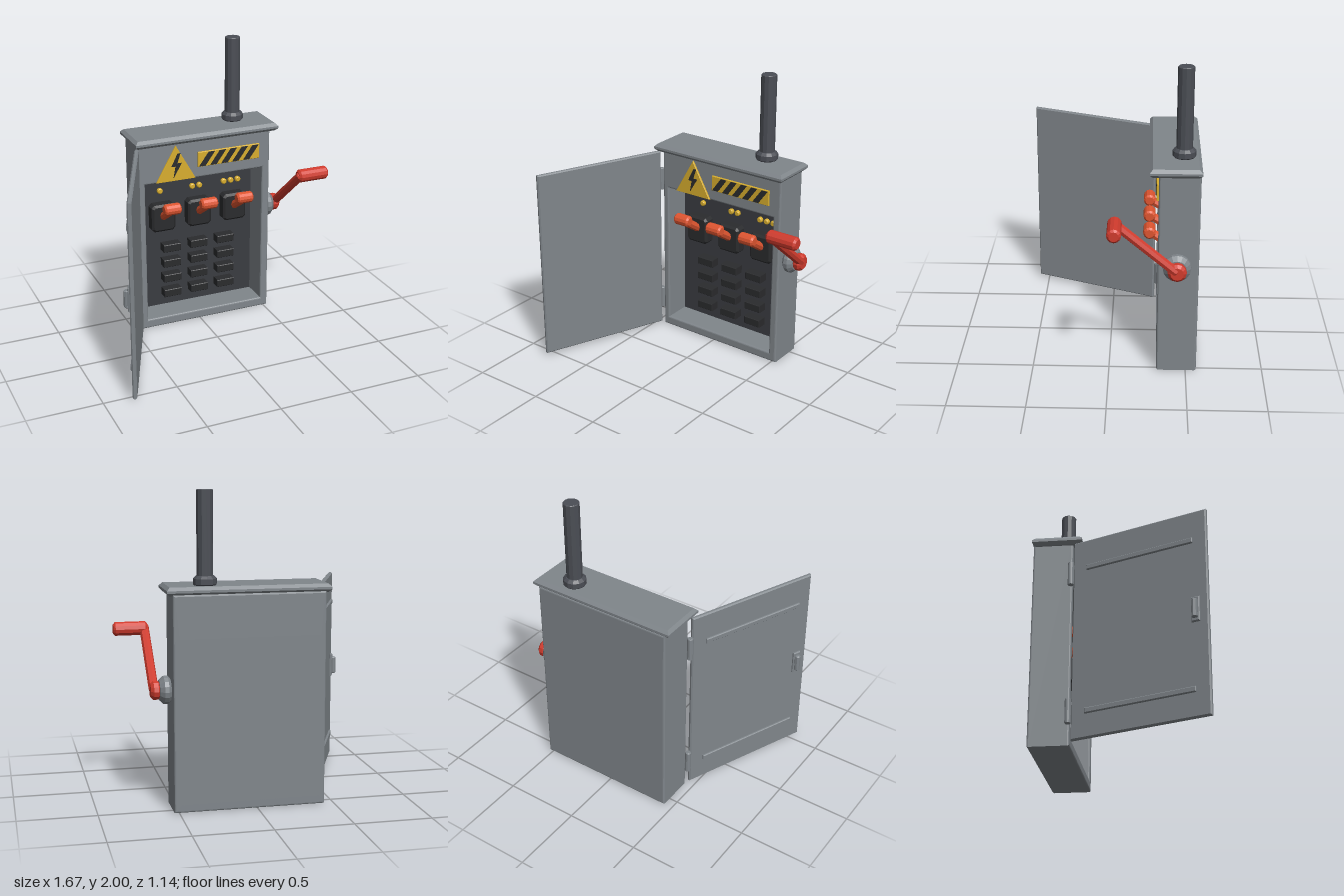
import * as THREE from 'three';

const mat = (color) => new THREE.MeshStandardMaterial({ color, flatShading: true });
const M = {
  steel: mat(0x80868b), pipe: mat(0x4b4e55), panel: mat(0x3a3c41), dark: mat(0x2a2b2d),
  red: mat(0xd03b2d), orange: mat(0xdf5530), yellow: mat(0xd8ae2e),
};

function add(parent, name, geometry, material, x = 0, y = 0, z = 0) {
  const mesh = new THREE.Mesh(geometry, material);
  mesh.name = name;
  mesh.position.set(x, y, z);
  parent.add(mesh);
  return mesh;
}

const polygon = (pts) => new THREE.Shape(pts.map(([x, y]) => new THREE.Vector2(x, y)));
const rect = (w, h) => [[-w / 2, -h / 2], [w / 2, -h / 2], [w / 2, h / 2], [-w / 2, h / 2]];

// Extrusion centred on z whose outer size includes the bevel
function slab(shape, depth, bevel, segments = 1) {
  const g = new THREE.ExtrudeGeometry(shape, {
    depth: depth - 2 * bevel, bevelEnabled: bevel > 0, bevelSize: bevel,
    bevelThickness: bevel, bevelOffset: -bevel, bevelSegments: segments,
  });
  return g.translate(0, 0, bevel - depth / 2);
}

const chamferBox = (w, h, d, c) => slab(polygon(rect(w, h)), d, c);

// Cylinder along y with chamfered rims
function chamferCylinder(r, h, c, sides = 12) {
  const pts = [[0, -h / 2], [r - c, -h / 2], [r, c - h / 2], [r, h / 2 - c], [r - c, h / 2], [0, h / 2]];
  return new THREE.LatheGeometry(pts.map(([x, y]) => new THREE.Vector2(x, y)), sides);
}

// Rod between two points
function rod(parent, name, a, b, r, material, sides = 8) {
  const p = new THREE.Vector3(...a), q = new THREE.Vector3(...b);
  const mesh = add(parent, name, chamferCylinder(r, p.distanceTo(q), r * 0.3, sides), material);
  mesh.position.copy(p).lerp(q, 0.5);
  mesh.quaternion.setFromUnitVectors(new THREE.Vector3(0, 1, 0), q.sub(p).normalize());
  return mesh;
}

function buildCabinet(root) {
  const g = new THREE.Group();
  g.name = 'cabinet';
  root.add(g);

  // Shell with an opening below the sign header
  const shape = polygon(rect(0.97, 1.37));
  shape.holes.push(new THREE.Path(
    [[-0.44, -0.62], [-0.44, 0.4], [0.43, 0.4], [0.43, -0.62]].map(([x, y]) => new THREE.Vector2(x, y))));
  add(g, 'shell', slab(shape, 0.26, 0.012, 3), M.steel, 0.045, 0.685, -0.44);
  add(g, 'backPlate', new THREE.BoxGeometry(0.9, 1.05, 0.05), M.steel, 0.042, 0.575, -0.545);
  add(g, 'innerPanel', new THREE.BoxGeometry(0.89, 1.04, 0.02), M.panel, 0.042, 0.575, -0.51);

  // Roof
  const roof = add(g, 'roof', chamferBox(1.04, 0.325, 0.055, 0.02), M.steel, 0.047, 1.388, -0.414);
  roof.rotation.x = -Math.PI / 2;

  // Conduit
  add(g, 'conduitCollar', chamferCylinder(0.075, 0.07, 0.018), M.pipe, 0.313, 1.44, -0.467);
  add(g, 'conduit', chamferCylinder(0.052, 0.6, 0.004), M.pipe, 0.313, 1.7, -0.467);
}

function buildSigns(root) {
  const g = new THREE.Group();
  g.name = 'signs';
  root.add(g);
  const triangle = polygon([[-0.317, 1.09], [-0.033, 1.09], [-0.175, 1.34]]);
  add(g, 'warningTriangle', slab(triangle, 0.016, 0.003), M.yellow, 0, 0, -0.304);
  const bolt = polygon([[-0.165, 1.285], [-0.21, 1.195], [-0.18, 1.195], [-0.195, 1.115],
    [-0.135, 1.215], [-0.168, 1.215], [-0.145, 1.285]]);
  add(g, 'boltMark', slab(bolt, 0.006, 0), M.dark, 0, 0, -0.295);

  add(g, 'stripePlate', chamferBox(0.46, 0.106, 0.016, 0.003), M.yellow, 0.215, 1.218, -0.304);
  const stripe = polygon([[-0.058, -0.048], [-0.012, -0.048], [0.058, 0.048], [0.012, 0.048]]);
  for (let i = 0; i < 5; i++) {
    add(g, 'stripe', slab(stripe, 0.006, 0), M.dark, 0.215 + (i - 2) * 0.082, 1.218, -0.295);
  }
}

function buildControls(root) {
  // Switches with levers, each with one more lamp than the last
  [-0.225, 0.045, 0.313].forEach((x, i) => {
    const g = new THREE.Group();
    g.name = 'switch';
    g.position.set(x, 0, 0);
    root.add(g);
    const w = 0.0875, c = 0.02;
    const outline = polygon([[c - w, -0.1], [w - c, -0.1], [w, c - 0.1], [w, 0.1 - c],
      [w - c, 0.1], [c - w, 0.1], [-w, 0.1 - c], [-w, c - 0.1]]);
    add(g, 'switchBase', slab(outline, 0.09, 0.015), M.dark, 0, 0.775, -0.455);
    rod(g, 'lever', [0, 0.785, -0.43], [0, 0.9, -0.25], 0.03, M.orange);
    rod(g, 'leverGrip', [-0.06, 0.905, -0.255], [0.06, 0.905, -0.255], 0.04, M.orange, 12);
    for (let k = 0; k <= i; k++) {
      const lamp = add(g, 'lamp', chamferCylinder(0.02, 0.03, 0.006), M.yellow, (k - i / 2) * 0.054, 0.952, -0.49);
      lamp.rotation.x = Math.PI / 2;
    }
  });

  // Fuse blocks
  for (let row = 0; row < 4; row++) {
    for (let col = 0; col < 3; col++) {
      add(root, 'fuse', chamferBox(0.13, 0.056, 0.075, 0.004), M.dark,
        -0.16 + col * 0.205, 0.53 - row * 0.117, -0.465);
    }
  }
}

function buildDoor(root) {
  // Local x runs along the open door, local z points to its outer face
  const door = new THREE.Group();
  door.name = 'door';
  door.position.set(-0.455, 0, -0.295);
  door.rotation.y = -THREE.MathUtils.degToRad(112.5);
  root.add(door);
  add(door, 'doorLeaf', chamferBox(0.93, 1.335, 0.03, 0.008), M.steel, 0.465, 0.688, 0);
  for (const y of [0.19, 1.155]) {
    add(door, 'doorRib', chamferBox(0.74, 0.035, 0.02, 0.005), M.steel, 0.47, y, 0.018);
  }
  add(door, 'handlePlate', chamferBox(0.055, 0.16, 0.02, 0.006), M.steel, 0.85, 0.69, 0.02);
  rod(door, 'doorHandle', [0.85, 0.63, 0.036], [0.85, 0.75, 0.036], 0.02, M.steel);

  for (const y of [0.21, 1.14]) {
    add(root, 'hinge', chamferCylinder(0.02, 0.16, 0.004), M.steel, -0.462, y, -0.318);
  }
}

function buildCrank(root) {
  const g = new THREE.Group();
  g.name = 'crank';
  root.add(g);
  const y = 0.76, z = -0.43;
  rod(g, 'crankBoss', [0.52, y, z], [0.6, y, z], 0.09, M.steel, 16);
  rod(g, 'crankHub', [0.59, y, z], [0.655, y, z], 0.06, M.red, 12);
  rod(g, 'crankArm', [0.632, y, z], [0.632, 1.105, -0.02], 0.031, M.red);
  rod(g, 'crankGrip', [0.615, 1.092, -0.04], [0.835, 1.092, -0.04], 0.045, M.red, 12);
}

export function createModel() {
  const root = new THREE.Group();
  root.name = 'electricalCabinet';
  buildCabinet(root);
  buildSigns(root);
  buildControls(root);
  buildDoor(root);
  buildCrank(root);
  return root;
}
